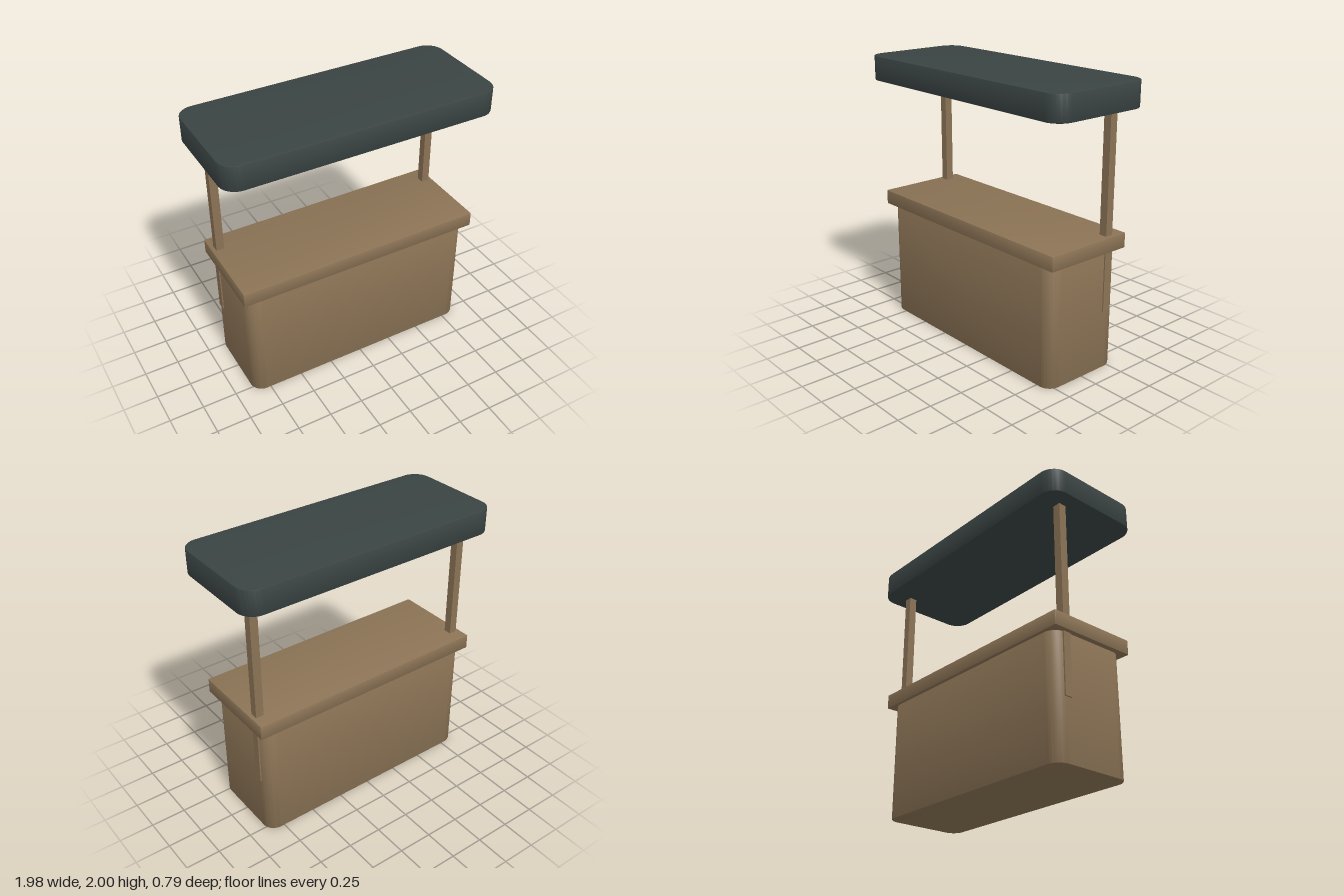
import * as THREE from 'three';
import { toCreasedNormals } from 'three/addons/utils/BufferGeometryUtils.js';

// Upright block whose plan is a rectangle with rounded corners
function roundedBlock(w, d, y0, y1, r, bevel) {
  const x = w / 2 - bevel, z = d / 2 - bevel, c = r - bevel;
  const s = new THREE.Shape();
  s.moveTo(-x + c, -z);
  s.lineTo(x - c, -z);
  s.absarc(x - c, -z + c, c, -Math.PI / 2, 0);
  s.lineTo(x, z - c);
  s.absarc(x - c, z - c, c, 0, Math.PI / 2);
  s.lineTo(-x + c, z);
  s.absarc(-x + c, z - c, c, Math.PI / 2, Math.PI);
  s.lineTo(-x, -z + c);
  s.absarc(-x + c, -z + c, c, Math.PI, Math.PI * 1.5);
  const g = new THREE.ExtrudeGeometry(s, {
    depth: y1 - y0 - 2 * bevel, bevelThickness: bevel, bevelSize: bevel,
    bevelSegments: 2, curveSegments: 10,
  });
  g.rotateX(-Math.PI / 2).translate(0, y0 + bevel, 0);
  return toCreasedNormals(g, 0.7);
}

export function createModel() {
  const wood = new THREE.MeshStandardMaterial({ color: 0x8b7355 });
  wood.name = 'brown wood';
  const cloth = new THREE.MeshStandardMaterial({ color: 0x3a4443 });
  cloth.name = 'dark slate canopy';

  const model = new THREE.Group();
  model.name = 'marketStall';
  const add = (name, geometry, material) => {
    const mesh = new THREE.Mesh(geometry, material);
    mesh.name = name;
    model.add(mesh);
    return mesh;
  };

  // Stall body and overhanging counter
  add('body', roundedBlock(1.74, 0.62, 0, 0.88, 0.09, 0.006), wood);
  add('counter', roundedBlock(1.816, 0.672, 0.865, 0.97, 0.008, 0.004), wood);

  // Posts run from the sides of the body up into the canopy
  for (const side of [-1, 1]) {
    const post = add(side > 0 ? 'leftPost' : 'rightPost',
      new THREE.BoxGeometry(0.058, 1.43, 0.058), wood);
    post.position.set(side * 0.85, 1.143, -0.207);
  }

  // Canopy slab
  add('canopy', roundedBlock(1.976, 0.792, 1.822, 2, 0.12, 0.006), cloth);
  return model;
}
